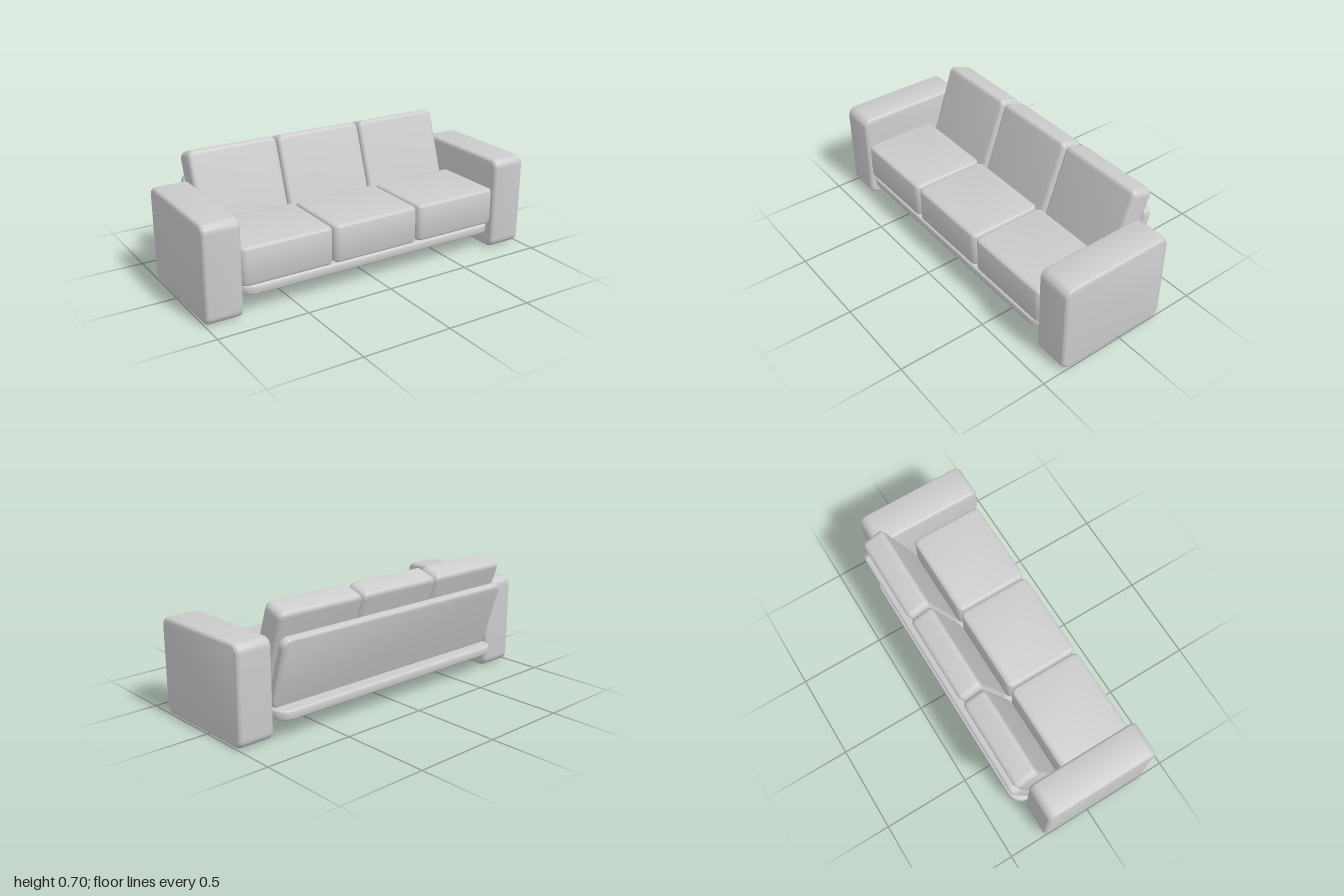
import * as THREE from 'three';
import { toCreasedNormals } from 'three/addons/utils/BufferGeometryUtils.js';

const material = new THREE.MeshStandardMaterial({ color: 0xcccccc });

// Padded block, w x h outline with corner radius R, depth d along z, edges softened by r
function padded(w, h, d, R, r) {
  const x = w / 2 - r, y = h / 2 - r, c = R - r;
  const s = new THREE.Shape();
  s.moveTo(-x + c, -y);
  s.lineTo(x - c, -y);
  s.absarc(x - c, -y + c, c, -Math.PI / 2, 0);
  s.lineTo(x, y - c);
  s.absarc(x - c, y - c, c, 0, Math.PI / 2);
  s.lineTo(-x + c, y);
  s.absarc(-x + c, y - c, c, Math.PI / 2, Math.PI);
  s.lineTo(-x, -y + c);
  s.absarc(-x + c, -y + c, c, Math.PI, Math.PI * 1.5);
  const geometry = new THREE.ExtrudeGeometry(s, {
    depth: d - 2 * r, bevelThickness: r, bevelSize: r, bevelSegments: 5, curveSegments: 6,
  });
  geometry.translate(0, 0, -d / 2 + r);
  return toCreasedNormals(geometry, 0.7);
}

export function createModel() {
  const sofa = new THREE.Group();
  sofa.name = 'sofa';
  const add = (name, geometry, x, y, z, tilt = 0) => {
    const mesh = new THREE.Mesh(geometry, material);
    mesh.name = name;
    mesh.position.set(x, y, z);
    mesh.rotation.x = tilt;
    sofa.add(mesh);
  };

  // Block-shaped arms standing on the floor
  const arm = padded(0.665, 0.533, 0.205, 0.05, 0.022).rotateY(Math.PI / 2);
  add('leftArm', arm, 0.8975, 0.2665, 0.0475);
  add('rightArm', arm, -0.8975, 0.2665, 0.0475);

  // Thin base between the arms, rounded in plan
  add('base', padded(1.59, 0.722, 0.053, 0.08, 0.013).rotateX(-Math.PI / 2), 0, 0.131, 0.013);

  // Leaning panel behind the back cushions
  add('backPanel', padded(1.585, 0.4, 0.048, 0.045, 0.014), 0, 0.344, -0.298, -0.3);

  // Three seat cushions and three tilted back cushions
  const seat = padded(0.526, 0.435, 0.21, 0.035, 0.022).rotateX(-Math.PI / 2);
  const back = padded(0.526, 0.53, 0.137, 0.038, 0.025);
  ['right', 'middle', 'left'].forEach((side, i) => {
    const x = (i - 1) * 0.532;
    add(side + 'SeatCushion', seat, x, 0.263, 0.156);
    add(side + 'BackCushion', back, x, 0.429, -0.213, -0.332);
  });
  return sofa;
}
